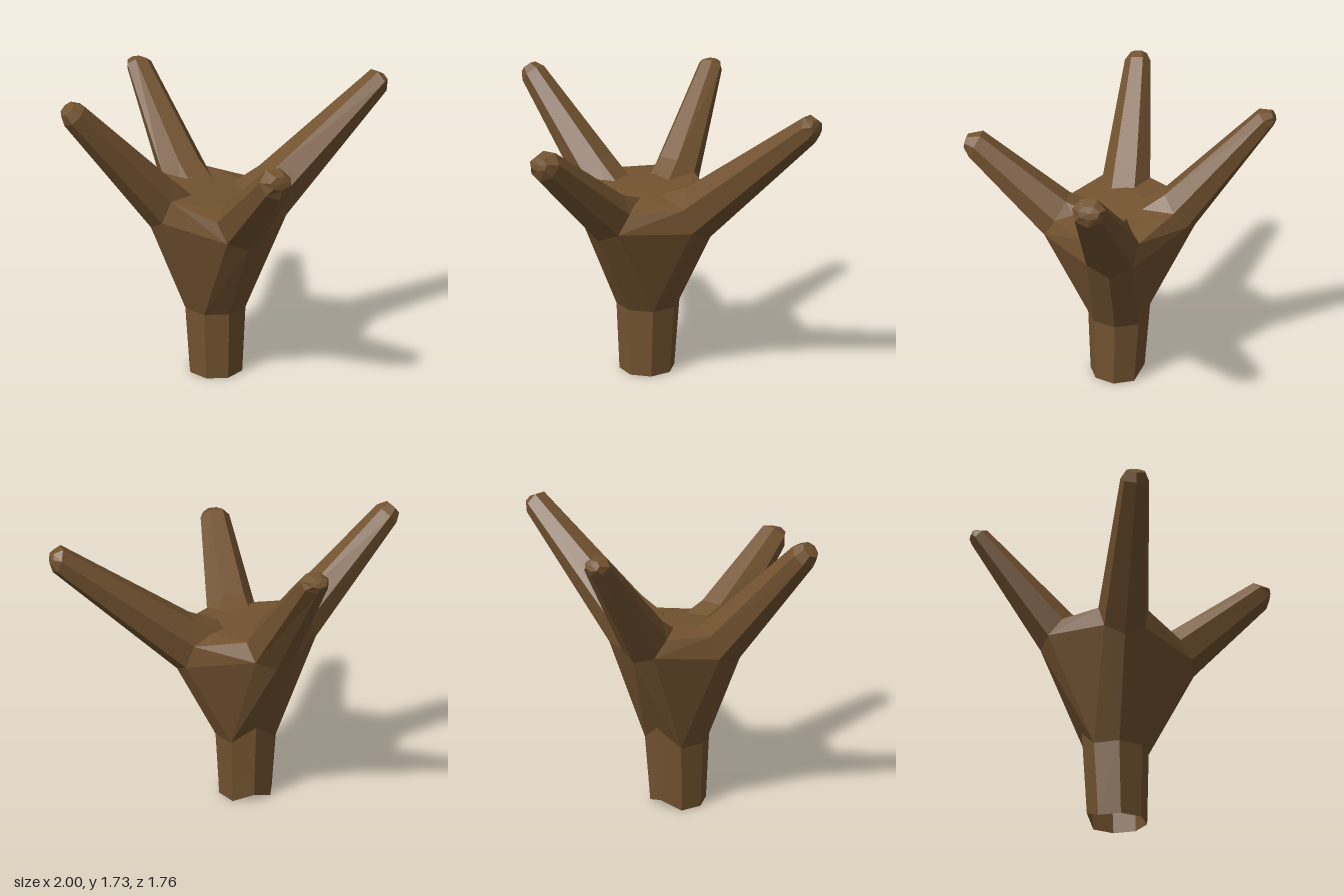
import * as THREE from 'three';
import { ConvexGeometry } from 'three/addons/geometries/ConvexGeometry.js';

const SIDES = 7;
const V = (x, y, z) => new THREE.Vector3(x, y, z);

// Skins a list of rings with flat facets; an optional apex closes the end
function loft(rings, apex) {
  const out = [];
  const tri = (...pts) => pts.forEach((p) => out.push(p.x, p.y, p.z));
  const n = rings[0].length;
  for (let i = 0; i < n; i++) {
    const j = (i + 1) % n;
    for (let s = 0; s < rings.length - 1; s++) {
      const a = rings[s], b = rings[s + 1];
      tri(a[i], a[j], b[j]);
      tri(a[i], b[j], b[i]);
    }
    const end = rings[rings.length - 1];
    if (apex) tri(end[i], end[j], apex);
  }
  const geo = new THREE.BufferGeometry();
  geo.setAttribute('position', new THREE.Float32BufferAttribute(out, 3));
  geo.computeVertexNormals();
  return geo;
}

// Branch section: [top distance, top y, bottom distance, bottom y, side centre, half width]
function section(dx, dz, [ta, ty, ba, by, c, hw]) {
  const ring = [];
  for (let i = 0; i < SIDES; i++) {
    const t = -Math.PI / 2 + (i / SIDES) * Math.PI * 2;
    const h = (Math.sin(t) + 1) / 1.901;
    const along = ba + (ta - ba) * h;
    const off = (Math.cos(t) / 0.975) * hw;
    ring.push(V(
      dx * along + dz * off + Math.abs(dz) * c,
      by + (ty - by) * h,
      dz * along - dx * off + Math.abs(dx) * c,
    ));
  }
  return ring;
}

// Sections run from inside the fork: root, base, end, rounded tip
const BRANCHES = [
  { name: 'leftBranch', dx: 1, dz: 0, sections: [
    [0.05, 1.11, 0.05, 0.75, -0.02, 0.14],
    [0.22, 1.18, 0.31, 0.87, -0.02, 0.16],
    [0.93, 1.675, 0.985, 1.54, -0.015, 0.085],
    [0.98, 1.655, 1.0, 1.59, -0.02, 0.055]] },
  { name: 'rightBranch', dx: -1, dz: 0, sections: [
    [0.26, 1.11, 0.26, 0.75, -0.015, 0.15],
    [0.40, 1.24, 0.50, 0.95, -0.015, 0.14],
    [0.88, 1.71, 0.985, 1.61, -0.015, 0.078],
    [0.935, 1.73, 1.0, 1.665, -0.015, 0.05]] },
  { name: 'frontBranch', dx: 0, dz: 1, sections: [
    [0.13, 1.09, 0.13, 0.7, -0.1, 0.16],
    [0.28, 1.14, 0.43, 0.9, -0.115, 0.145],
    [0.78, 1.485, 0.86, 1.34, -0.16, 0.09],
    [0.865, 1.467, 0.88, 1.40, -0.16, 0.058]] },
  { name: 'backBranch', dx: 0, dz: -1, sections: [
    [0.15, 1.12, 0.15, 0.75, -0.12, 0.16],
    [0.28, 1.21, 0.45, 1.0, -0.14, 0.14],
    [0.78, 1.7, 0.865, 1.62, -0.21, 0.076],
    [0.85, 1.7, 0.878, 1.65, -0.215, 0.048]] },
];

// Eight-sided trunk ring; the corner facing backwards sits higher
function trunkRing(y, backY, r, cx, cz) {
  return Array.from({ length: 8 }, (_, i) => {
    const t = (i / 8) * Math.PI * 2;
    return V(cx + Math.sin(t) * r, i === 4 ? backY : y, cz + Math.cos(t) * r);
  });
}

export function createModel() {
  const model = new THREE.Group();
  model.name = 'forkedBranch';
  const bark = new THREE.MeshStandardMaterial({ color: 0x735330, side: THREE.DoubleSide });
  bark.name = 'brownBark';
  const add = (name, geo) => {
    const mesh = new THREE.Mesh(geo, bark);
    mesh.name = name;
    model.add(mesh);
  };

  // Trunk, open at the foot
  const foot = trunkRing(0, 0.05, 0.165, -0.105, -0.01);
  const neck = trunkRing(0.41, 0.52, 0.187, -0.103, -0.02);
  add('trunk', loft([foot, neck]));

  // Branches; the lower corners of each base also shape the fork
  const forkPoints = [...neck];
  for (const { name, dx, dz, sections } of BRANCHES) {
    const rings = sections.map((s) => section(dx, dz, s));
    const tip = rings[rings.length - 1];
    const apex = tip.reduce((sum, p) => sum.add(p), V(0, 0, 0)).divideScalar(SIDES);
    apex.x += dx * 0.005;
    apex.z += dz * 0.005;
    add(name, loft(rings, apex));
    forkPoints.push(...rings[1].filter((_, i) => i !== 3 && i !== 4));
  }

  // Fork where the branches meet, with a low crown
  for (const x of [-0.24, 0.03]) for (const z of [-0.12, 0.11]) forkPoints.push(V(x, 1.09, z));
  add('fork', new ConvexGeometry(forkPoints));

  return model;
}
